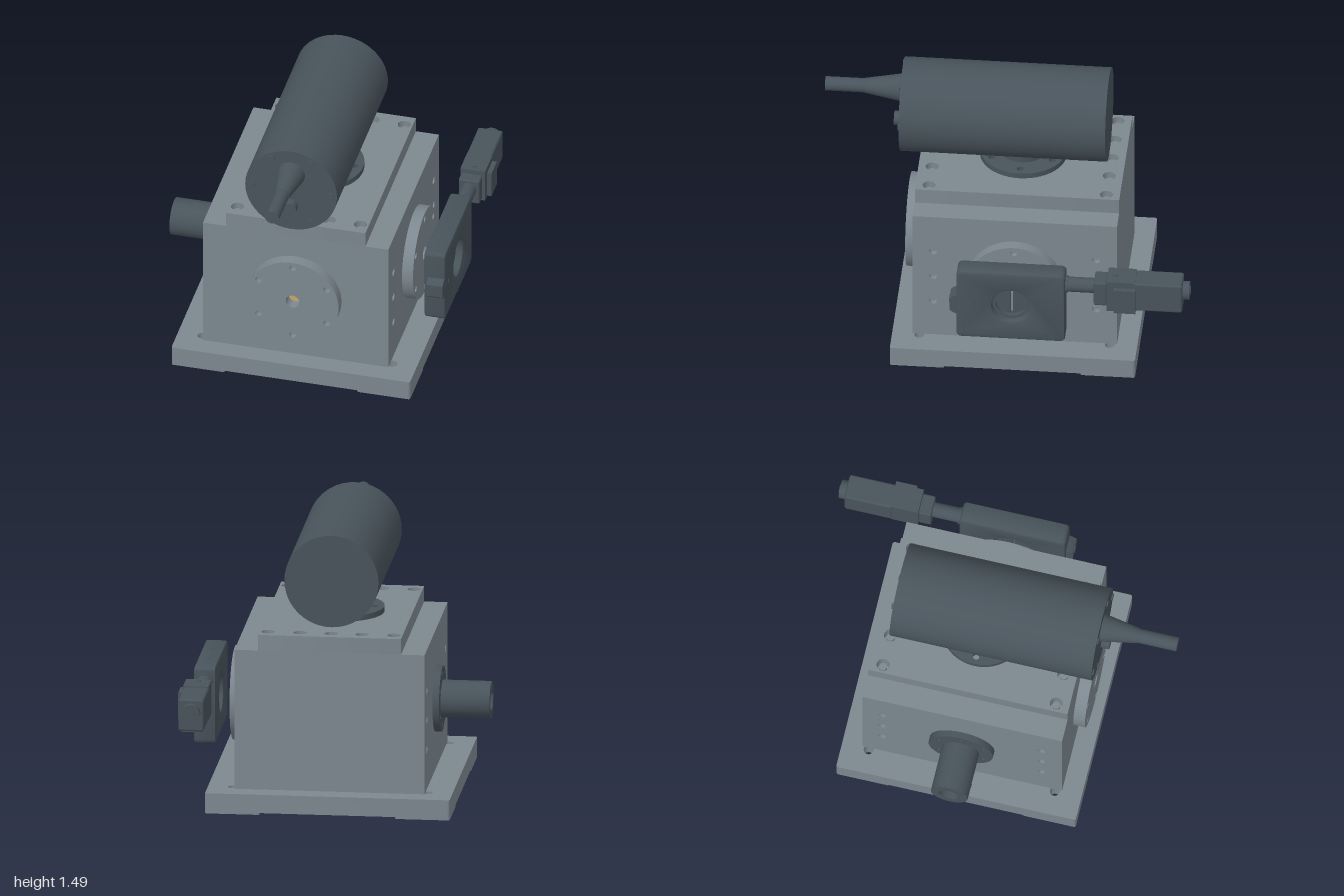
import * as THREE from 'three';
import { toCreasedNormals } from 'three/addons/utils/BufferGeometryUtils.js';
import { RoundedBoxGeometry } from 'three/addons/geometries/RoundedBoxGeometry.js';

const CY = 0.49, CZ = -0.05; // optical centre of the housing
const H = Math.PI / 2;

export function createModel() {
  const model = new THREE.Group();
  const mat = (name, color) => Object.assign(new THREE.MeshStandardMaterial({ color }), { name });
  const grey = mat('housing grey', 0x7c878f);
  const dark = mat('dark slate', 0x48535b);
  const gold = mat('gold', 0xc4a66c);

  const add = (name, geo, m, x, y, z, parent = model) => {
    const mesh = new THREE.Mesh(geo, m);
    mesh.name = name;
    mesh.position.set(x, y, z);
    parent.add(mesh);
    return mesh;
  };
  const box = (name, m, x0, x1, y0, y1, z0, z1, r = 0) => add(name,
    r ? new RoundedBoxGeometry(x1 - x0, y1 - y0, z1 - z0, 2, r) : new THREE.BoxGeometry(x1 - x0, y1 - y0, z1 - z0),
    m, (x0 + x1) / 2, (y0 + y1) / 2, (z0 + z1) / 2);
  // Cylinder along z from z0 to z1
  const rod = (name, m, x, y, z0, z1, r0, r1 = r0) => {
    const geo = new THREE.CylinderGeometry(r1, r0, z1 - z0, 48).rotateX(H);
    return add(name, geo, m, x, y, (z0 + z1) / 2);
  };

  // Flat outlines with holes given as [x, y, radius]
  const circle = (x, y, r, C = THREE.Path) => new C().absarc(x, y, r, 0, Math.PI * 2, false);
  const disc = r => circle(0, 0, r, THREE.Shape);
  const polygon = points => new THREE.Shape(points.map(p => new THREE.Vector2(...p)));
  const rect = (w, h, r, C = THREE.Shape) => {
    const s = new C(), a = w / 2 - r, b = h / 2 - r;
    s.absarc(a, b, r, 0, H).absarc(-a, b, r, H, 2 * H).absarc(-a, -b, r, 2 * H, 3 * H).absarc(a, -b, r, 3 * H, 4 * H);
    s.closePath();
    return s;
  };
  const extrude = (shape, depth, holes = [], bevel = 0) => {
    holes.forEach(([x, y, r]) => shape.holes.push(circle(x, y, r)));
    return toCreasedNormals(new THREE.ExtrudeGeometry(shape, {
      depth, curveSegments: 24, bevelEnabled: bevel > 0, bevelSize: bevel, bevelThickness: bevel,
      bevelOffset: -bevel, bevelSegments: 2 }), 0.5);
  };
  const ringHoles = (n, radius, r, start = H) => Array.from({ length: n }, (_, i) => {
    const a = start + i * 2 * Math.PI / n;
    return [radius * Math.cos(a), radius * Math.sin(a), r];
  });
  // Turn an extrusion so that its depth runs along the chosen direction
  const turn = { z: [0, 0], x: [0, H], '-x': [0, -H], y: [-H, 0] };
  const plate = (name, geo, m, dir, x, y, z) => {
    const mesh = add(name, geo, m, x, y, z);
    mesh.rotation.set(turn[dir][0], turn[dir][1], 0);
    return mesh;
  };
  // Screws sunk in the holes of a plate
  const sunkScrews = (name, holes, depth, m, dir, x, y, z) => {
    const group = new THREE.Group();
    group.name = name;
    group.position.set(x, y, z);
    group.rotation.set(turn[dir][0], turn[dir][1], 0);
    model.add(group);
    holes.forEach(([hx, hy, r]) => add('screw',
      new THREE.CylinderGeometry(r * 0.6, r * 0.6, depth, 16).rotateX(H), m, hx, hy, depth / 2, group));
  };

  // Base: upper slab with round opening, lower slab with square recess, corner pads
  const bolts = [];
  for (const x of [-0.517, 0.517]) for (const y of [-0.505, 0.505]) bolts.push([x, y, 0.026]);
  plate('baseUpper', extrude(rect(1.3, 1.3, 0.012), 0.08, [[0, 0, 0.235], ...bolts]), grey, 'y', 0, 0.03, CZ);
  const lower = rect(1.3, 1.3, 0.012);
  lower.holes.push(rect(0.5, 0.5, 0.03, THREE.Path));
  const small = ringHoles(4, 0.34, 0.018);
  plate('baseLower', extrude(lower, 0.02, [...bolts, ...small]), grey, 'y', 0, 0.01, CZ);
  for (const sx of [-1, 1]) for (const sz of [-1, 1]) {
    plate('cornerPad', extrude(rect(0.29, 0.29, 0.012), 0.01, [[sx * 0.012, 0, 0.026]]),
      grey, 'y', sx * 0.505, 0, CZ + sz * 0.505);
  }

  // Gold optic in the bottom opening
  plate('bottomOptic', extrude(disc(0.15), 0.006, ringHoles(4, 0.07, 0.02, 0.4)), gold, 'y', 0, 0.104, CZ);

  // Housing: core, drilled side walls, stepped lid
  box('housingCore', grey, -0.475, 0.475, 0.11, 0.87, -0.592, 0.492);
  const sideHoles = [];
  for (const x of [-0.432, 0.432]) for (const y of [-0.16, 0, 0.16]) sideHoles.push([x, y, 0.022]);
  for (const s of [-1, 1]) {
    const wall = polygon([[-0.542, -0.38], [0.542, -0.38], [0.542, 0.38], [-0.542, 0.38]]);
    plate('sideWall', extrude(wall, 0.03, sideHoles), grey, s > 0 ? 'x' : '-x', s * 0.475, CY, CZ);
  }
  const lidHoles = [];
  for (const x of [-0.335, -0.165, 0, 0.165, 0.335]) for (const y of [-0.47, 0.47]) lidHoles.push([x, y, 0.034]);
  plate('steppedLid', extrude(rect(0.76, 1.084, 0.001), 0.085, lidHoles), grey, 'y', 0, 0.87, CZ);
  sunkScrews('lidScrews', lidHoles, 0.06, grey, 'y', 0, 0.87, CZ);

  // Round flanges on the front and on the left side
  const six = ringHoles(6, 0.215, 0.018);
  const flange = (name, dir, x, z, depth) => {
    plate(name, extrude(disc(0.25), depth, [[0, 0, 0.038], ...six]), grey, dir, x, CY, z);
    sunkScrews(name + 'Screws', six, depth * 0.7, grey, dir, x, CY, z);
  };
  flange('frontFlange', 'z', 0, 0.492, 0.063);
  flange('sideFlange', 'x', 0.505, CZ, 0.06);
  // Gold mirror half showing in the front aperture
  add('apertureMirror', new THREE.CircleGeometry(0.038, 24, H * 1.5, Math.PI), gold, 0, CY, 0.496);

  // Dark port on the right side
  const portHoles = ringHoles(6, 0.14, 0.013);
  plate('portFlange', extrude(disc(0.175), 0.035, [[0, 0, 0.055], ...portHoles]), dark, '-x', -0.505, CY, CZ);
  plate('portTube', extrude(disc(0.1), 0.26, [[0, 0, 0.055]]), dark, '-x', -0.54, CY, CZ);
  add('tubeSetScrew', new THREE.CylinderGeometry(0.01, 0.01, 0.004, 12), dark, -0.725, CY + 0.1, CZ);
  rod('tubeSetScrew', dark, -0.725, CY, CZ + 0.098, CZ + 0.102, 0.01);

  // Pump on top of the lid
  const topHoles = ringHoles(6, 0.185, 0.018, 0);
  plate('pumpFlange', extrude(disc(0.23), 0.03, topHoles), dark, 'y', 0, 0.955, CZ);
  add('pumpNeck', new THREE.CylinderGeometry(0.127, 0.127, 0.12, 48), dark, 0, 1.035, CZ);
  rod('pumpBody', dark, 0, 1.235, -0.505, 0.59, 0.25);
  ringHoles(6, 0.217, 0.018, 0).forEach(([x, y, r]) => rod('pumpScrew', dark, x, 1.235 + y, 0.585, 0.598, r));
  rod('pumpStub', dark, 0, 1.14, 0.585, 0.635, 0.038);
  // rotateX turns the cylinder's top toward +z, so the second radius is the front one
  rod('cableBoot', dark, 0, 1.34, 0.585, 0.79, 0.076, 0.04);
  rod('cable', dark, 0, 1.34, 0.785, 1, 0.038);

  // Adjustable slit unit beside the side flange
  plate('slitFrame', extrude(rect(0.575, 0.42, 0.025), 0.091, [[0, 0, 0.1]], 0.012), dark, 'x', 0.647, CY, CZ);
  plate('slitInnerRing', extrude(disc(0.103), 0.03, [[0, 0, 0.085]]), dark, 'x', 0.68, CY, CZ);
  for (const s of [-1, 1]) {
    const half = new THREE.Shape().absarc(0, 0, 0.1, 0.06, Math.PI - 0.06);
    plate('slitBlade', extrude(half, 0.012), dark, 'x', 0.672, CY, CZ).rotateZ(s * H);
  }
  const tab = polygon([[-0.28, -0.07], [-0.28, 0.06], [-0.315, 0.04], [-0.325, 0.03], [-0.325, -0.04], [-0.315, -0.05]]);
  plate('slitTab', extrude(tab, 0.09), dark, 'x', 0.655, CY, CZ);
  rod('tabScrew', dark, 0.695, CY, 0.27, 0.279, 0.02);
  for (const z of [-0.15, 0.04]) add('frameScrew', new THREE.CylinderGeometry(0.01, 0.01, 0.006, 12), dark, 0.695, 0.7, z);
  add('facePin', new THREE.CylinderGeometry(0.012, 0.012, 0.006, 12).rotateZ(H), dark, 0.75, CY, 0.17);

  // Micrometer drive behind the slit unit
  const ax = 0.695, ay = 0.62;
  rod('driveShaft', dark, ax, ay, -0.5, -0.33, 0.04);
  rod('driveCollar', dark, ax, ay, -0.35, -0.335, 0.046);
  box('driveCoupling', dark, 0.637, 0.752, 0.53, 0.675, -0.56, -0.49, 0.01);
  box('driveClamp', dark, 0.63, 0.765, 0.51, 0.695, -0.71, -0.56);
  box('driveBody', dark, 0.627, 0.762, 0.515, 0.69, -0.96, -0.7, 0.012);
  box('driveRail', dark, 0.645, 0.745, 0.51, 0.66, -0.95, -0.7);
  box('driveLug', dark, 0.76, 0.79, 0.515, 0.66, -0.715, -0.6);
  rod('driveKnob', dark, ax, ay, -0.995, -0.955, 0.05);
  rod('driveKnobTip', dark, ax, ay, -1, -0.99, 0.025);
  add('driveDialScrew', new THREE.CylinderGeometry(0.014, 0.014, 0.006, 16), dark, ax, 0.697, -0.6);

  return model;
}
